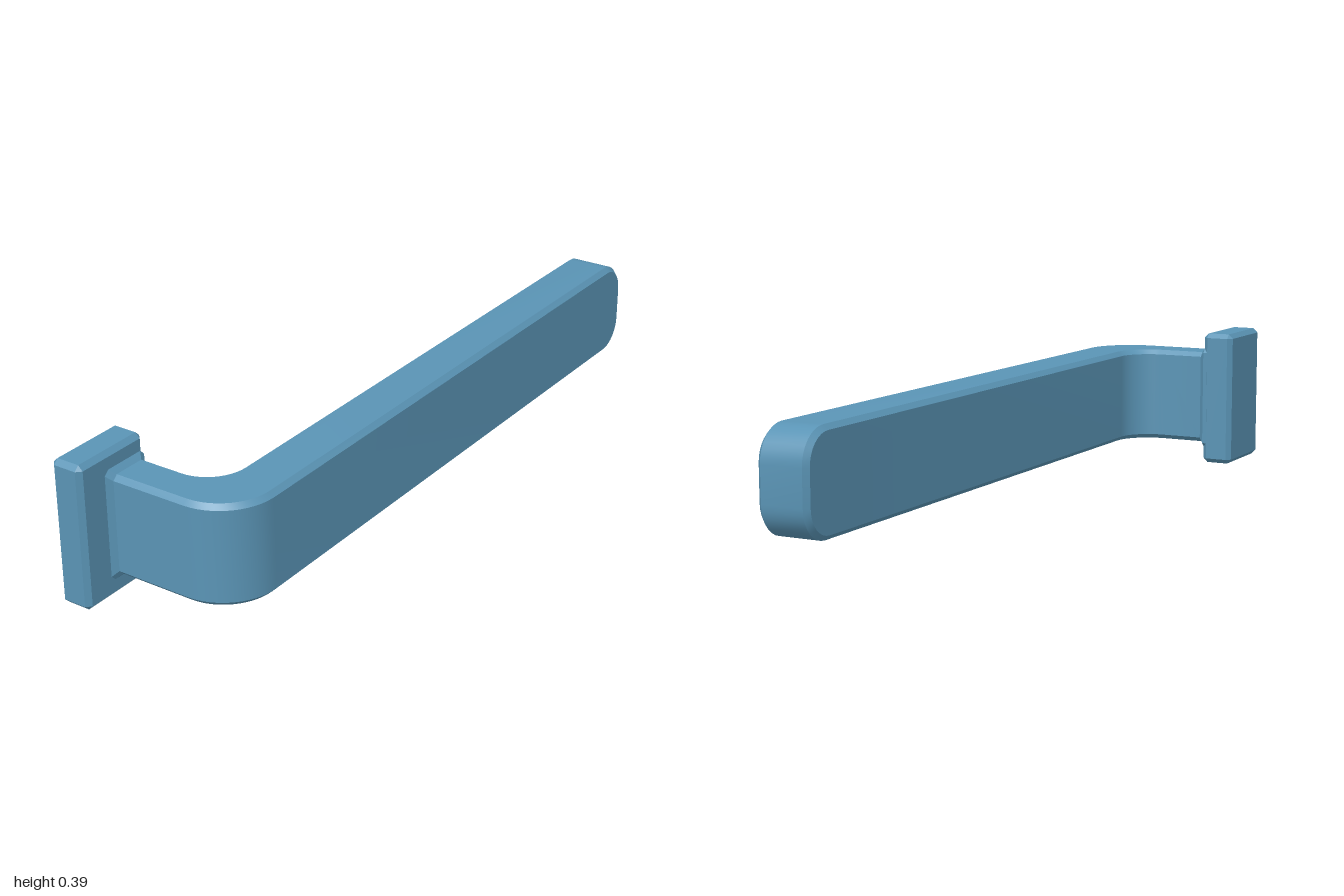
import * as THREE from 'three';
import { toCreasedNormals } from 'three/addons/utils/BufferGeometryUtils.js';
import { ConvexGeometry } from 'three/addons/geometries/ConvexGeometry.js';

const C = 0.013;                 // chamfer on every edge
const MID = 0.197, HALF = 0.137; // centre height and half height of the arm
const material = new THREE.MeshStandardMaterial({ color: 0x5a94b5 });

// Box with all twelve edges chamfered
function chamferedBox(w, h, d, c) {
  const points = [];
  for (const sx of [-1, 1]) for (const sy of [-1, 1]) for (const sz of [-1, 1]) {
    for (const [a, b, e] of [[0, c, c], [c, 0, c], [c, c, 0]]) {
      points.push(new THREE.Vector3(sx * (w / 2 - a), sy * (h / 2 - b), sz * (d / 2 - e)));
    }
  }
  return new ConvexGeometry(points);
}

// Eight-cornered section. Each corner is [x, z]; edge corners sit at
// half height hEdge, side-face corners at half height hFace.
function section(edgeIn, edgeOut, faceIn, faceOut, hEdge, hFace) {
  const at = ([x, z], h) => [x, MID + h, z];
  return [
    at(edgeIn, hEdge), at(edgeOut, hEdge), at(faceOut, hFace), at(faceOut, -hFace),
    at(edgeOut, -hEdge), at(edgeIn, -hEdge), at(faceIn, -hFace), at(faceIn, hFace),
  ];
}

function armGeometry() {
  const rings = [];
  const neckIn = 0.785, neckOut = 0.9, gripIn = 0.09, gripOut = 0.232;

  // Neck, flaring into the plate
  const neck = (x, flare) => rings.push(section(
    [x, neckIn + C - flare], [x, neckOut - C + flare],
    [x, neckIn - flare], [x, neckOut + flare], HALF + flare, HALF - C + flare));
  neck(-0.16, 0.014);
  neck(-0.144, 0.014);
  neck(-0.13, 0);

  // Bend, with separate arcs for the inner and outer walls
  const rIn = 0.095, rOut = 0.15, steps = 12;
  for (let i = 0; i <= steps; i++) {
    const t = (i / steps) * Math.PI / 2;
    const inner = r => [gripIn - rIn + r * Math.sin(t), neckIn - rIn + r * Math.cos(t)];
    const outer = r => [gripOut - rOut + r * Math.sin(t), neckOut - rOut + r * Math.cos(t)];
    rings.push(section(inner(rIn + C), outer(rOut - C), inner(rIn), outer(rOut), HALF, HALF - C));
  }

  // Grip ending in rounded top and bottom corners
  const r = 0.09, tipSteps = 8;
  for (let i = 0; i <= tipSteps; i++) {
    const t = (i / tipSteps) * Math.PI / 2;
    const z = q => -1 + r - q * Math.sin(t);
    const h = q => HALF - r + q * Math.cos(t);
    rings.push(section([gripIn + C, z(r)], [gripOut - C, z(r)],
      [gripIn, z(r - C)], [gripOut, z(r - C)], h(r), h(r - C)));
  }

  // Skin between neighbouring sections, then both ends
  const index = [];
  const quad = (a, b, c, d) => index.push(a, b, c, a, c, d);
  const last = (rings.length - 1) * 8;
  for (let o = 0; o < last; o += 8) {
    for (let k = 0; k < 8; k++) {
      const n = (k + 1) % 8;
      quad(o + k, o + n, o + 8 + n, o + 8 + k);
    }
  }
  for (const [a, b, c, d] of [[0, 1, 4, 5], [1, 2, 3, 4], [0, 5, 6, 7]]) {
    quad(last + a, last + b, last + c, last + d);
    quad(d, c, b, a);
  }
  const geometry = new THREE.BufferGeometry();
  geometry.setAttribute('position', new THREE.Float32BufferAttribute(rings.flat(2), 3));
  geometry.setIndex(index);
  return toCreasedNormals(geometry, 0.5);
}

export function createModel() {
  const group = new THREE.Group();
  group.name = 'leverHandle';

  // Mounting plate
  const plate = new THREE.Mesh(chamferedBox(0.09, 0.394, 0.23, C), material);
  plate.name = 'mountingPlate';
  plate.position.set(-0.189, 0.197, 0.885);

  // Neck, bend and grip in one piece
  const arm = new THREE.Mesh(armGeometry(), material);
  arm.name = 'leverArm';

  group.add(plate, arm);
  return group;
}
